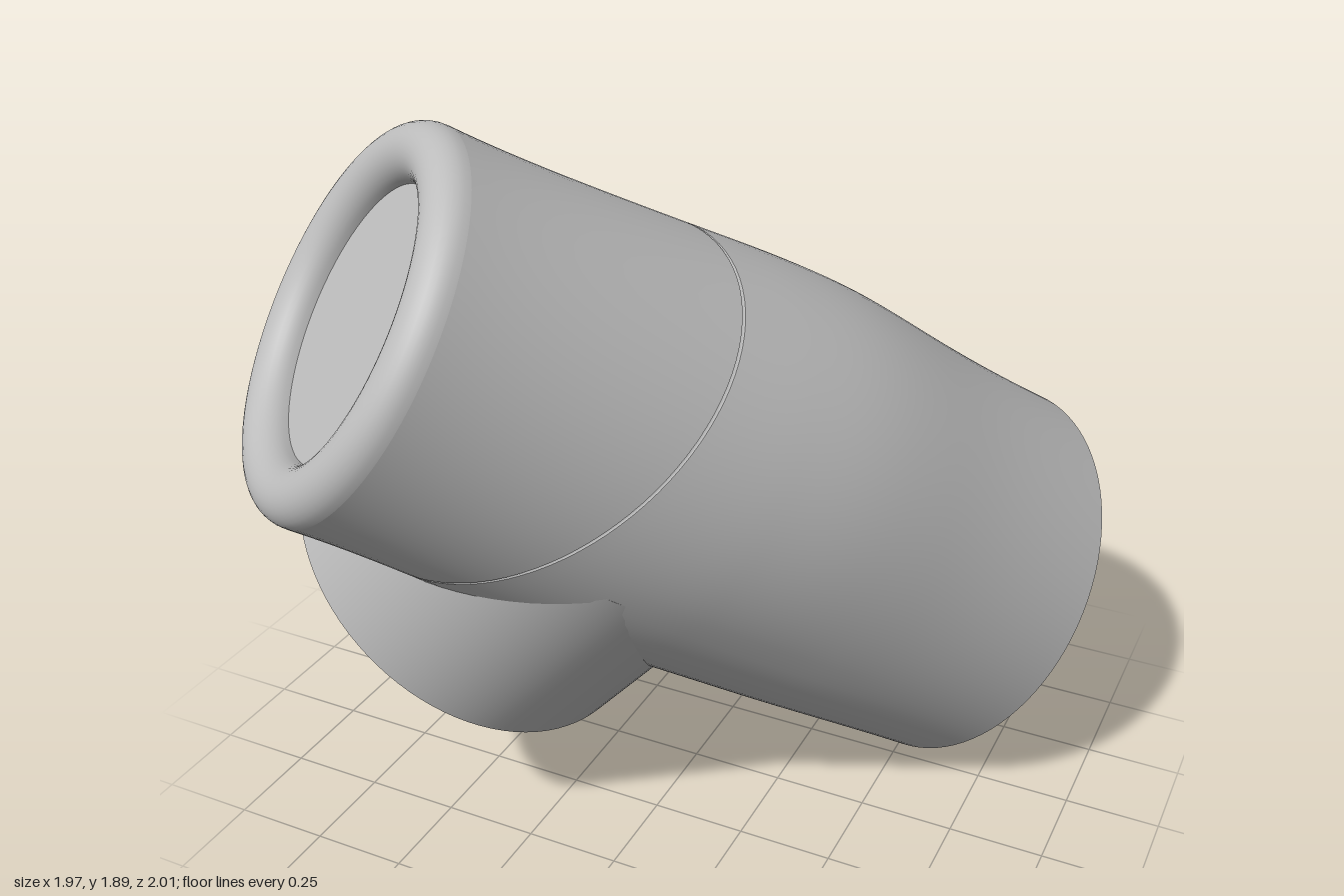
import * as THREE from 'three';
import { mergeVertices } from 'three/addons/utils/BufferGeometryUtils.js';

const LENGTH = 1.912;   // main barrel, measured from the front disc
const DISC_R = 0.345;   // recessed front disc
const LIP = 0.075;      // radius of the rounded lip
const BRANCH_R = 0.535;
const TURNS = 96;
const { smoothstep, lerp } = THREE.MathUtils;

// Barrel radius at distance t from the front, with a soft swelling opposite the branch
function radius(t, a) {
  const base = 0.495 + 0.045 * smoothstep(t, 0, 0.9) - 0.007 * smoothstep(t, 1.3, 1.9);
  const swell = 0.033 * Math.exp(-(((t - 1.12) / 0.33) ** 2));
  return base + swell * Math.max(0, Math.cos(a));
}

// The joint between collar and body lies on a tilted plane
const seam = (a) => 0.465 + 0.44 * 0.53 * Math.cos(a);

// Skin of revolution-like loops; point(u, a) gives [radius, t]
function skin(rows, point) {
  const pos = [], index = [];
  for (let i = 0; i <= rows; i++) {
    for (let j = 0; j < TURNS; j++) {
      const a = (j / TURNS) * Math.PI * 2;
      const [r, t] = point(i / rows, a);
      pos.push(r * Math.cos(a), t, r * Math.sin(a));
      if (i === rows) continue;
      const k = i * TURNS + j, n = i * TURNS + ((j + 1) % TURNS);
      index.push(k, k + TURNS, n, n, k + TURNS, n + TURNS);
    }
  }
  let g = new THREE.BufferGeometry();
  g.setAttribute('position', new THREE.Float32BufferAttribute(pos, 3));
  g.setIndex(index);
  g = mergeVertices(g);
  g.computeVertexNormals();
  return g;
}

export function createModel() {
  const grey = new THREE.MeshStandardMaterial({ color: 0xbcbcbc });
  grey.name = 'plain grey';
  const model = new THREE.Group();
  model.name = 'pipeTee';
  const add = (name, geometry) => {
    const mesh = new THREE.Mesh(geometry, grey);
    mesh.name = name;
    model.add(mesh);
    return mesh;
  };

  // Front disc inside the lip, and flat back end
  add('frontDisc', new THREE.CircleGeometry(DISC_R, TURNS).rotateX(Math.PI / 2));
  add('backCap', new THREE.CircleGeometry(radius(LENGTH, Math.PI), TURNS).rotateX(-Math.PI / 2))
    .position.y = LENGTH;

  // Rounded lip
  add('frontLip', skin(16, (u) => {
    const b = u * Math.PI;
    return [DISC_R + LIP - LIP * Math.cos(b), -LIP * Math.sin(b)];
  }));

  // Collar, narrow joint groove and long body
  const gap = 0.004, depth = 0.008;
  add('collar', skin(16, (u, a) => {
    const t = lerp(0, seam(a) - gap, u);
    return [radius(t, a), t];
  }));
  add('jointGroove', skin(2, (u, a) => {
    const t = seam(a) + (u * 2 - 1) * gap;
    return [radius(t, a) - (u === 0.5 ? depth : 0), t];
  }));
  add('body', skin(40, (u, a) => {
    const t = lerp(seam(a) + gap, LENGTH, u);
    return [radius(t, a), t];
  }));

  // Side branch, square to the barrel
  const reach = 0.64;
  add('branch', new THREE.CylinderGeometry(BRANCH_R, BRANCH_R, reach, TURNS).rotateZ(Math.PI / 2))
    .position.set(-reach / 2, 0.713, 0);

  // Tilt into place: local x points away from the branch, local y runs to the back
  const x = new THREE.Vector3(0.667, 0.745, 0).normalize();
  const y = new THREE.Vector3(0.585, -0.523, -0.62);
  y.addScaledVector(x, -y.dot(x)).normalize();
  const z = new THREE.Vector3().crossVectors(x, y);
  model.quaternion.setFromRotationMatrix(new THREE.Matrix4().makeBasis(x, y, z));
  model.position.set(-0.568, 1.457, 0.605);

  const root = new THREE.Group();
  root.name = 'model';
  root.add(model);
  return root;
}
